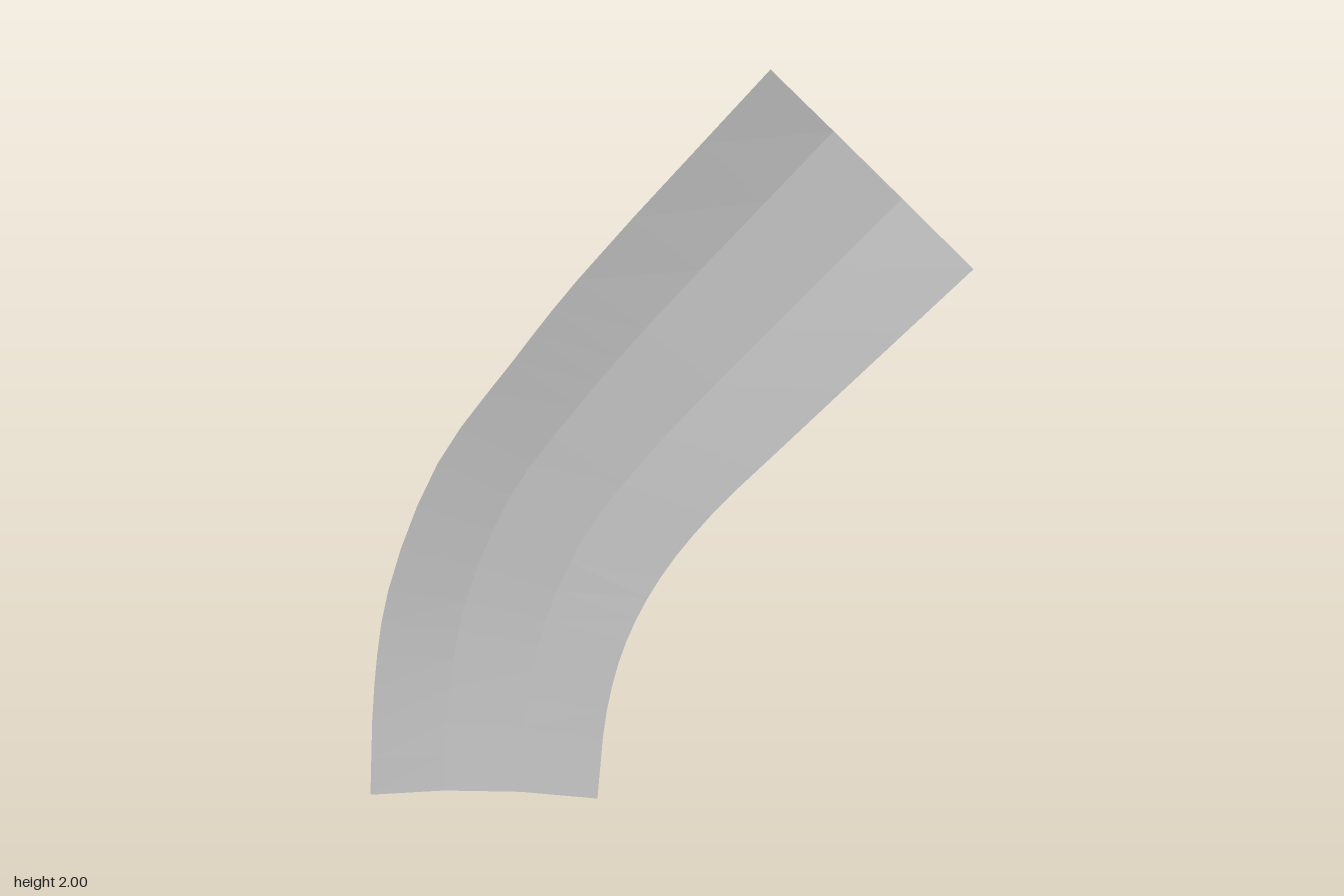
import * as THREE from 'three';

// Stations along the bend: outer edge x,y; inner edge x,y; rim z; floor z
const STATIONS = [
  [-0.81, 0.04, -0.185, 0.0, 0.058, 0.028],
  [-0.785, 0.36, -0.155, 0.26, 0.034, 0.0],
  [-0.735, 0.635, -0.1, 0.46, 0.022, -0.015],
  [-0.59, 0.99, -0.005, 0.645, 0.014, -0.022],
  [-0.386, 1.265, 0.13, 0.82, 0.012, -0.025],
  [-0.217, 1.476, 0.33, 1.02, 0.012, -0.03],
  [0.27, 2.0, 0.81, 1.48, -0.003, -0.06],
];
const ACROSS = [0, 0.32, 0.66, 1]; // fold lines across the channel
const STEPS = 18;

function createChannel(material) {
  // One smooth guide curve per fold line
  const rails = ACROSS.map((t, i) => new THREE.CatmullRomCurve3(
    STATIONS.map(([ax, ay, bx, by, rim, floor]) => new THREE.Vector3(
      ax + (bx - ax) * t,
      ay + (by - ay) * t,
      i === 0 || i === ACROSS.length - 1 ? rim : floor,
    )),
  ));

  const positions = [];
  const indices = [];
  const n = rails.length;
  for (let s = 0; s <= STEPS; s++) {
    for (const rail of rails) positions.push(...rail.getPoint(s / STEPS).toArray());
  }
  for (let s = 0; s < STEPS; s++) {
    for (let i = 0; i < n - 1; i++) {
      const a = s * n + i;
      indices.push(a, a + 1, a + n + 1, a, a + n + 1, a + n);
    }
  }
  const geometry = new THREE.BufferGeometry();
  geometry.setAttribute('position', new THREE.Float32BufferAttribute(positions, 3));
  geometry.setIndex(indices);
  geometry.computeVertexNormals();

  const mesh = new THREE.Mesh(geometry, material);
  mesh.name = 'curvedChannel';
  return mesh;
}

export function createModel() {
  const grey = new THREE.MeshStandardMaterial({
    color: 0xc0c0c0, flatShading: true, side: THREE.DoubleSide,
  });
  grey.name = 'light grey';

  const group = new THREE.Group();
  group.name = 'curvedPanel';
  group.add(createChannel(grey));
  return group;
}
